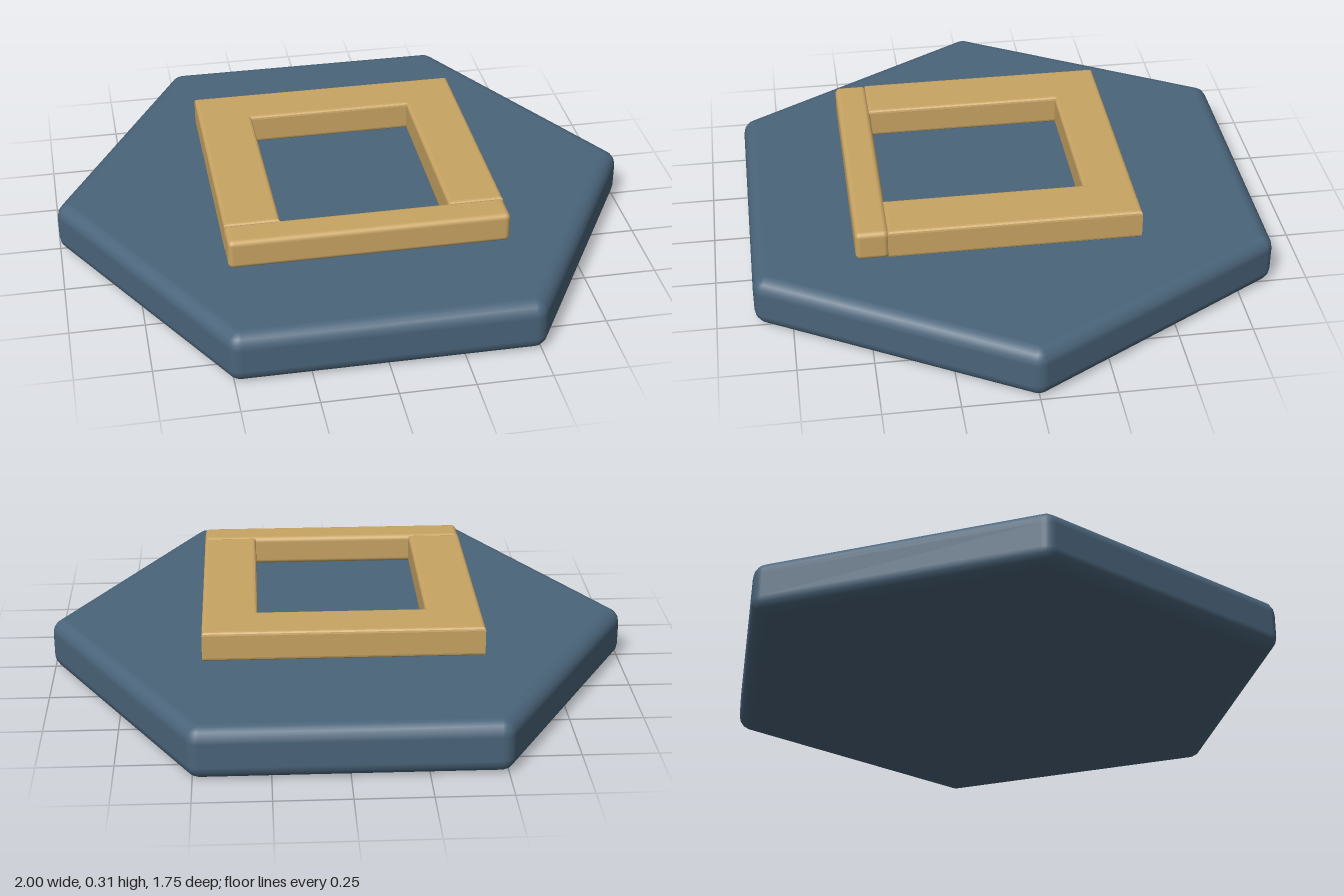
import * as THREE from 'three';
import { RoundedBoxGeometry } from 'three/addons/geometries/RoundedBoxGeometry.js';

const slate = new THREE.MeshStandardMaterial({ color: 0x4a647a });
slate.name = 'slate blue';
const gold = new THREE.MeshStandardMaterial({ color: 0xc8a463 });
gold.name = 'warm gold';

// Hexagonal slab with evenly rounded edges and corners
function roundedHexSlab(radius, height, r, arcSteps = 4, bevelSteps = 4) {
  const pos = [], nor = [], index = [];
  const levels = [];
  for (let i = 0; i <= bevelSteps; i++) levels.push([-Math.PI / 2 * (1 - i / bevelSteps), r]);
  for (let i = 0; i <= bevelSteps; i++) levels.push([Math.PI / 2 * (i / bevelSteps), height - r]);
  const R = radius - r, n = 6 * (arcSteps + 1);
  for (const [phi, y] of levels) {
    for (let k = 0; k < 6; k++) {
      const c = k * Math.PI / 3;
      for (let j = 0; j <= arcSteps; j++) {
        const t = c + (j / arcSteps - 0.5) * Math.PI / 3;
        const nx = Math.cos(phi) * Math.cos(t), ny = Math.sin(phi), nz = Math.cos(phi) * Math.sin(t);
        pos.push(R * Math.cos(c) + r * nx, y + r * ny, R * Math.sin(c) + r * nz);
        nor.push(nx, ny, nz);
      }
    }
  }
  // Side bands
  for (let l = 0; l < levels.length - 1; l++) {
    for (let i = 0; i < n; i++) {
      const a = l * n + i, b = l * n + (i + 1) % n;
      index.push(a, a + n, b, b, a + n, b + n);
    }
  }
  // Flat top and bottom
  const top = (levels.length - 1) * n, mid = pos.length / 3;
  pos.push(0, 0, 0, 0, height, 0);
  nor.push(0, -1, 0, 0, 1, 0);
  for (let i = 0; i < n; i++) {
    const j = (i + 1) % n;
    index.push(mid, i, j, mid + 1, top + j, top + i);
  }
  const g = new THREE.BufferGeometry();
  g.setAttribute('position', new THREE.Float32BufferAttribute(pos, 3));
  g.setAttribute('normal', new THREE.Float32BufferAttribute(nor, 3));
  g.setIndex(index);
  return g;
}

export function createModel() {
  const group = new THREE.Group();
  const add = (name, geometry, material, x = 0, y = 0, z = 0) => {
    const m = new THREE.Mesh(geometry, material);
    m.name = name;
    m.position.set(x, y, z);
    group.add(m);
    return m;
  };

  add('hexagonBase', roundedHexSlab(1, 0.182, 0.05), slate);

  // Three-sided frame, open to the front, floating just above the base
  const b = 0.012, y0 = 0.205, y1 = 0.309;
  const outer = 0.47 - b, inner = 0.283 + b, back = -0.425 + b, gap = -0.255 - b, front = 0.423 - b;
  const shape = new THREE.Shape([
    [-outer, back], [outer, back], [outer, front], [inner, front],
    [inner, gap], [-inner, gap], [-inner, front], [-outer, front],
  ].map(([x, z]) => new THREE.Vector2(x, -z)));
  const frame = new THREE.ExtrudeGeometry(shape, {
    depth: y1 - y0 - 2 * b, bevelEnabled: true, bevelSize: b, bevelThickness: b, bevelSegments: 3,
  });
  frame.rotateX(-Math.PI / 2);
  add('openFrame', frame, gold, 0, y0 + b, 0);

  // Separate bar closing the front of the frame
  const bar = new RoundedBoxGeometry(0.94, y1 - y0, 0.112, 3, 0.018);
  add('frontBar', bar, gold, 0, (y0 + y1) / 2, 0.474);

  return group;
}
